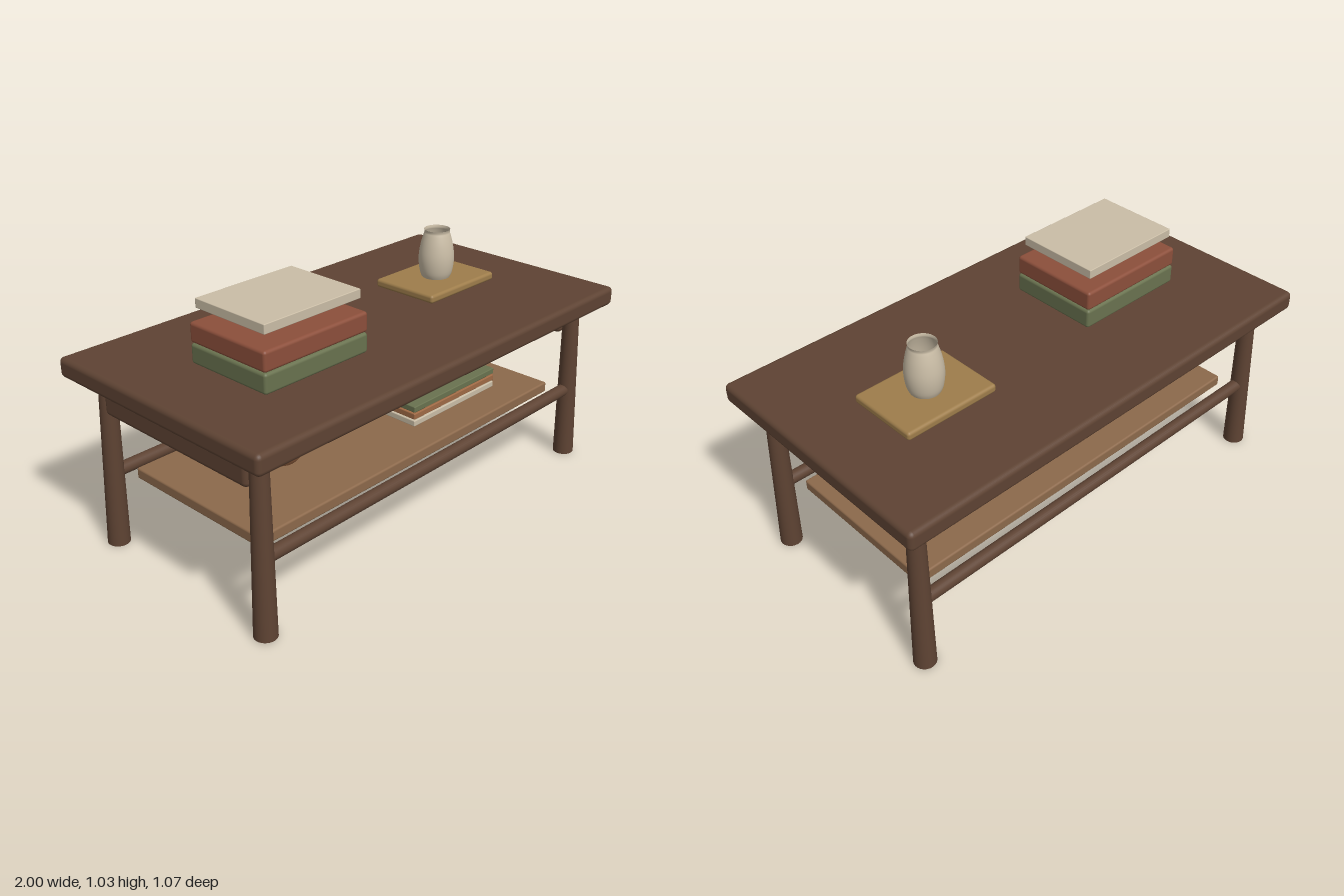
import * as THREE from 'three';
import { RoundedBoxGeometry } from 'three/addons/geometries/RoundedBoxGeometry.js';

const paint = (color, side = THREE.FrontSide) => new THREE.MeshStandardMaterial({ color, side });

export function createModel() {
  const table = new THREE.Group();
  table.name = 'coffeeTable';

  const wood = paint(0x5e4333);
  const oak = paint(0x8c694b);
  const green = paint(0x69724f);
  const red = paint(0x8c4f3b);
  const cream = paint(0xcabda6);
  const tan = paint(0x9e7d4b);
  const clay = paint(0xa86f49, THREE.DoubleSide);
  const ceramic = paint(0xcabda6, THREE.DoubleSide);

  const add = (name, geometry, material, x, y, z) => {
    const mesh = new THREE.Mesh(geometry, material);
    mesh.name = name;
    mesh.position.set(x, y, z);
    table.add(mesh);
    return mesh;
  };
  // Rounded slab standing on y0 and reaching y1
  const slab = (name, material, w, d, y0, y1, x, z, r) =>
    add(name, new RoundedBoxGeometry(w, y1 - y0, d, 3, r), material, x, (y0 + y1) / 2, z);
  // Round bar between two points
  const bar = (name, a, b, ra, rb) => {
    const dir = b.clone().sub(a);
    const mesh = add(name, new THREE.CylinderGeometry(rb, ra, dir.length(), 24), wood, 0, 0, 0);
    mesh.position.copy(a).add(b).multiplyScalar(0.5);
    mesh.quaternion.setFromUnitVectors(new THREE.Vector3(0, 1, 0), dir.normalize());
  };
  // Open thin-walled vessel from a radius/height profile
  const vessel = (name, material, profile, x, y, z) => {
    const curve = new THREE.SplineCurve(profile.map(([r, h]) => new THREE.Vector2(r, h)));
    add(name, new THREE.LatheGeometry(curve.getPoints(20), 36), material, x, y, z);
  };

  // Tabletop and the smaller panel beneath it
  slab('tableTop', wood, 2, 1.07, 0.7, 0.78, 0, 0, 0.02);
  slab('underPanel', wood, 1.92, 0.99, 0.684, 0.71, 0, 0, 0.008);

  // Tapered splayed legs, end rails and long stretchers
  for (const sx of [-1, 1]) {
    for (const sz of [-1, 1]) {
      bar('leg', new THREE.Vector3(0.9 * sx, 0, 0.422 * sz),
        new THREE.Vector3(0.887 * sx, 0.69, 0.41 * sz), 0.044, 0.033);
    }
    slab('endRail', wood, 0.085, 0.77, 0.57, 0.663, 0.883 * sx, 0, 0.02);
    bar('stretcher', new THREE.Vector3(-0.88, 0.308, 0.416 * sx),
      new THREE.Vector3(0.88, 0.308, 0.416 * sx), 0.026, 0.026);
  }

  // Lower shelf
  slab('shelf', oak, 1.68, 0.69, 0.285, 0.331, 0, 0, 0.008);

  // Books on the tabletop
  slab('lowerBook', green, 0.5, 0.39, 0.78, 0.859, -0.455, 0.054, 0.012);
  slab('upperBook', red, 0.5, 0.39, 0.861, 0.94, -0.455, 0.054, 0.012);
  slab('paperBlock', cream, 0.46, 0.355, 0.99, 1.027, -0.455, 0.053, 0.003);

  // Tray with vase
  slab('tray', tan, 0.405, 0.303, 0.78, 0.815, 0.518, -0.036, 0.012);
  vessel('vase', ceramic, [[0.058, 0], [0.067, 0.022], [0.073, 0.06], [0.073, 0.1],
    [0.066, 0.145], [0.056, 0.182], [0.052, 0.194], [0.054, 0.205]], 0.518, 0.814, -0.034);

  // Bowl and thin books on the shelf
  vessel('bowl', clay, [[0.06, 0], [0.082, 0.026], [0.099, 0.06], [0.109, 0.095],
    [0.124, 0.179]], -0.42, 0.331, 0);
  [cream, tan, green].forEach((material, i) => {
    const y = 0.333 + i * 0.031;
    slab('thinBook', i === 1 ? paint(0xa06a45) : material, 0.52, 0.408, y, y + 0.026, 0.38, 0, 0.004);
  });

  return table;
}
